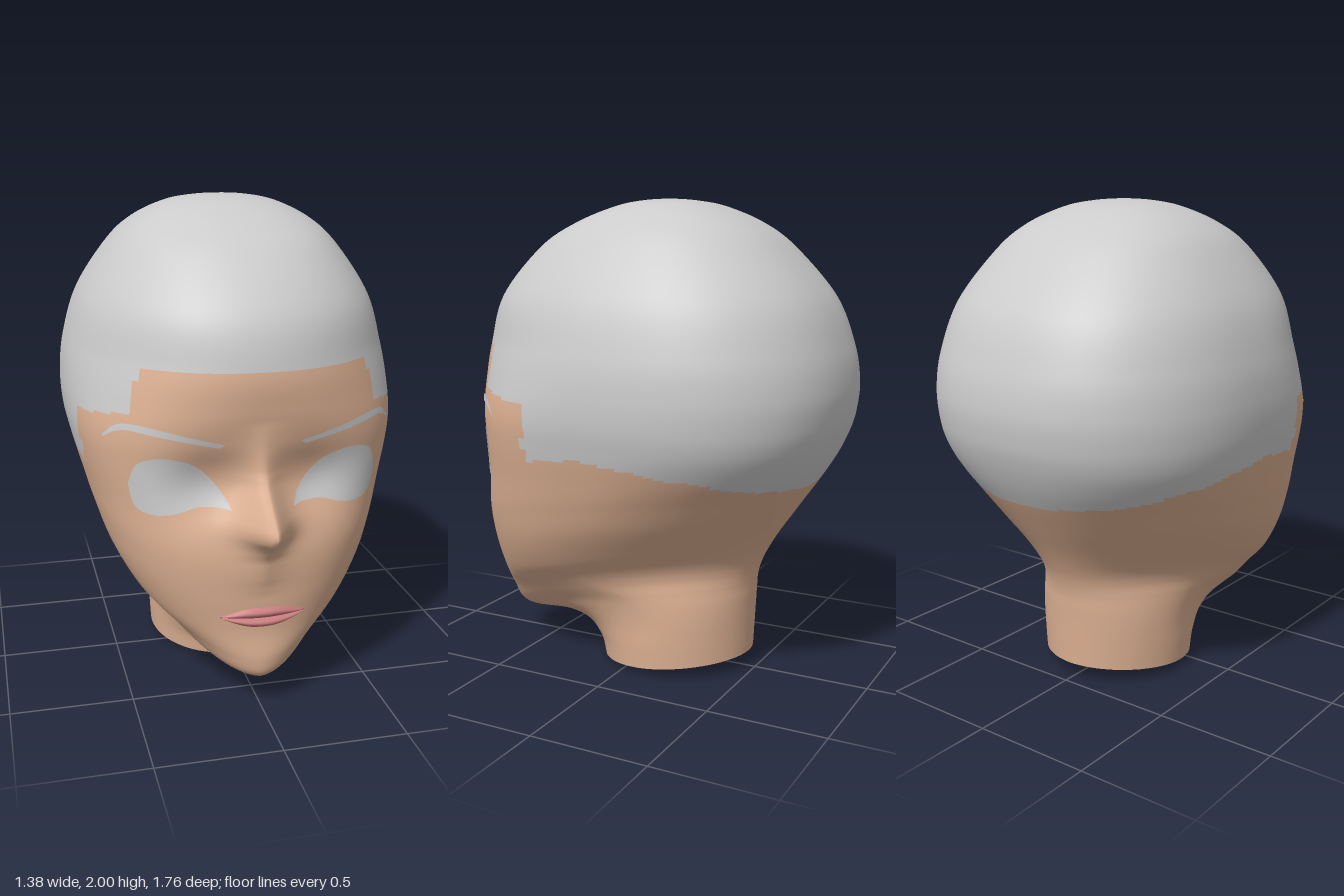
import * as THREE from 'three';

const skin = new THREE.MeshStandardMaterial({ color: 0xdcb092, side: THREE.DoubleSide });
const grey = new THREE.MeshStandardMaterial({ color: 0xcccccc, side: THREE.DoubleSide });
const rose = new THREE.MeshStandardMaterial({ color: 0xc87a7c, side: THREE.DoubleSide });
const { smoothstep } = THREE.MathUtils;

// Tilted rings from neck to crown:
// front z, front y, back z, back y, half width, z of widest point, squareness of the front
const RINGS = [
  [0.20, 0.00, -0.47, 0.07, 0.315, -0.13, 2.0],
  [0.225, 0.08, -0.475, 0.17, 0.32, -0.13, 2.0],
  [0.30, 0.145, -0.48, 0.26, 0.322, -0.13, 2.0],
  [0.42, 0.155, -0.485, 0.33, 0.328, -0.10, 1.9],
  [0.60, 0.122, -0.49, 0.39, 0.34, -0.03, 1.7],
  [0.68, 0.145, -0.505, 0.45, 0.362, 0.08, 1.7],
  [0.70, 0.22, -0.53, 0.51, 0.40, 0.15, 1.8],
  [0.69, 0.34, -0.58, 0.60, 0.475, 0.17, 2.1],
  [0.70, 0.50, -0.66, 0.72, 0.55, 0.12, 2.3],
  [0.70, 0.66, -0.74, 0.84, 0.595, 0.05, 2.5],
  [0.665, 0.84, -0.80, 0.94, 0.63, -0.02, 2.8],
  [0.65, 1.00, -0.845, 1.04, 0.664, -0.08, 3.0],
  [0.67, 1.12, -0.87, 1.13, 0.685, -0.08, 2.75],
  [0.695, 1.25, -0.88, 1.25, 0.69, -0.08, 2.35],
  [0.70, 1.40, -0.855, 1.40, 0.672, -0.08, 2.1],
  [0.642, 1.60, -0.773, 1.60, 0.61, -0.08, 2.15],
  [0.47, 1.80, -0.60, 1.80, 0.48, -0.08, 2.2],
  [0.31, 1.90, -0.465, 1.90, 0.375, -0.08, 2.2],
  [0.14, 1.967, -0.31, 1.967, 0.24, -0.08, 2.2],
  [0.03, 1.992, -0.19, 1.992, 0.12, -0.08, 2.1],
  [-0.08, 2.00, -0.08, 2.00, 0.00, -0.08, 2.0],
];

// Nose: height -> how far the centre line stands out, and its half width
const NOSE = [[0.55, 0.01], [0.66, 0.035], [0.71, 0.075], [0.74, 0.125], [0.77, 0.19], [0.81, 0.218],
  [0.85, 0.185], [0.9, 0.13], [0.95, 0.08], [1.0, 0.05], [1.1, 0.02], [1.2, 0]];
const NOSE_WIDTH = [[0.8, 0.085], [0.86, 0.075], [0.95, 0.058], [1.1, 0.07]];

// Hairline: z -> height, stepped at the temples
const HAIRLINE = [[-0.9, 0.8], [-0.75, 0.85], [-0.5, 0.91], [-0.3, 0.95], [0, 0.99], [0.25, 0.96],
  [0.251, 1.19], [0.45, 1.21], [0.52, 1.23], [0.521, 1.4], [1, 1.4]];

function lookup(table, k) {
  if (k <= table[0][0]) return table[0][1];
  for (let i = 1; i < table.length; i++) {
    const [a, fa] = table[i - 1], [b, fb] = table[i];
    if (k <= b) return fa + (fb - fa) * (k - a) / (b - a);
  }
  return table[table.length - 1][1];
}

// Smooth ring between the listed ones
function ringAt(v) {
  const last = RINGS.length - 1;
  const i = Math.min(Math.floor(v), last - 1), t = v - i;
  const r = k => RINGS[Math.min(Math.max(k, 0), last)];
  return r(0).map((_, c) => {
    const p0 = r(i - 1)[c], p1 = r(i)[c], p2 = r(i + 1)[c], p3 = r(i + 2)[c];
    return p1 + 0.5 * t * (p2 - p0 + t * (2 * p0 - 5 * p1 + 4 * p2 - p3 + t * (3 * (p1 - p2) + p3 - p0)));
  });
}

function headPoint(v, a) {
  const [fz, fy, bz, by, w, zc, n] = ringAt(v);
  const s = Math.sin(a), c = Math.cos(a);
  const depth = Math.max(c > 0 ? fz - zc : zc - bz, 1e-4);
  // the nape is rounder than the back of the skull
  const e = c > 0 ? n : 1.9 + 0.5 * smoothstep(v, 6, 11);
  const rad = Math.pow(Math.pow(Math.abs(s) / Math.max(w, 1e-4), e) + Math.pow(Math.abs(c) / depth, e), -1 / e);
  const x = rad * s;
  let z = zc + rad * c;
  // the jaw line sweeps up quickly behind the chin, then runs level to the nape
  const sweep = 1 + smoothstep(v, 1, 4) * (1 - smoothstep(v, 8, 11));
  const t = (z - bz) / Math.max(fz - bz, 1e-4);
  const y = by + (fy - by) * Math.pow(Math.min(Math.max(t, 0), 1), sweep);
  if (z > 0.3 && y > 0.5) {
    // nose and eye sockets
    const ax = Math.abs(x);
    z += lookup(NOSE, y) * Math.exp(-Math.pow(ax / lookup(NOSE_WIDTH, y), 1.5)) * Math.min(1, (y - 0.5) / 0.06);
    z -= 0.045 * Math.exp(-(((ax - 0.21) / 0.15) ** 2) - (((y - 0.94) / 0.13) ** 2));
  }
  return [x, y, z];
}

// One head surface, shared by the face and the hair cap
function buildHead() {
  const cols = 128, rows = (RINGS.length - 1) * 10;
  const pos = [], all = [], face = [], cap = [];
  for (let i = 0; i <= rows; i++) {
    for (let j = 0; j < cols; j++) {
      const u = j / cols * Math.PI * 2;
      pos.push(...headPoint(i / 10, u - 0.5 * Math.sin(u))); // finer toward the face
    }
  }
  for (let i = 0; i < rows; i++) {
    for (let j = 0; j < cols; j++) {
      const a = i * cols + j, b = i * cols + (j + 1) % cols;
      const quad = [a, b, b + cols, a, b + cols, a + cols];
      const y = (pos[a * 3 + 1] + pos[(b + cols) * 3 + 1]) / 2;
      const z = (pos[a * 3 + 2] + pos[(b + cols) * 3 + 2]) / 2;
      all.push(...quad);
      (y > lookup(HAIRLINE, z) ? cap : face).push(...quad);
    }
  }
  const whole = new THREE.BufferGeometry();
  whole.setAttribute('position', new THREE.Float32BufferAttribute(pos, 3));
  whole.setIndex(all);
  whole.computeVertexNormals();
  const part = index => {
    const g = new THREE.BufferGeometry();
    g.setAttribute('position', whole.attributes.position);
    g.setAttribute('normal', whole.attributes.normal);
    g.setIndex(index);
    return g;
  };
  return { whole, face: part(face), cap: part(cap) };
}

// Patch between two outline curves, laid onto the face and raised by lift(s, t)
function patch(name, material, target, side, lower, upper, lift, across = 24, up = 6) {
  const curve = pts => new THREE.SplineCurve(pts.map(p => new THREE.Vector2(...p)));
  const lo = curve(lower), hi = curve(upper);
  const ray = new THREE.Raycaster(), inward = new THREE.Vector3(0, 0, -1);
  const pos = [], index = [];
  for (let i = 0; i <= across; i++) {
    const s = i / across, p = lo.getPoint(s), q = hi.getPoint(s);
    for (let j = 0; j <= up; j++) {
      const t = j / up, m = p.clone().lerp(q, t);
      ray.set(new THREE.Vector3(m.x * side, m.y, 2), inward);
      const hit = ray.intersectObject(target)[0];
      pos.push(m.x * side, m.y, (hit ? hit.point.z : 0.4) + lift(s, t));
      if (i < across && j < up) {
        const a = i * (up + 1) + j, b = a + up + 1;
        index.push(...(side > 0 ? [a, b, b + 1, a, b + 1, a + 1] : [a, b + 1, b, a, a + 1, b + 1]));
      }
    }
  }
  const g = new THREE.BufferGeometry();
  g.setAttribute('position', new THREE.Float32BufferAttribute(pos, 3));
  g.setIndex(index);
  g.computeVertexNormals();
  const mesh = new THREE.Mesh(g, material);
  mesh.name = name;
  return mesh;
}

export function createModel() {
  const model = new THREE.Group();
  model.name = 'head';
  const { whole, face, cap } = buildHead();
  const target = new THREE.Mesh(whole, skin);

  const faceMesh = new THREE.Mesh(face, skin);
  faceMesh.name = 'faceAndNeck';
  const capMesh = new THREE.Mesh(cap, grey);
  capMesh.name = 'hairCap';
  model.add(faceMesh, capMesh);

  // Eyes and eyebrows, mirrored
  for (const [side, label] of [[1, 'left'], [-1, 'right']]) {
    model.add(patch(label + 'Eye', grey, target, side,
      [[0.125, 0.855], [0.17, 0.862], [0.25, 0.863], [0.33, 0.84], [0.42, 0.832], [0.48, 0.86], [0.502, 0.95]],
      [[0.125, 0.86], [0.16, 0.925], [0.24, 1.015], [0.32, 1.055], [0.41, 1.06], [0.475, 1.03], [0.502, 0.95]],
      () => 0.005, 24, 10));
    model.add(patch(label + 'Eyebrow', grey, target, side,
      [[0.17, 1.105], [0.27, 1.128], [0.4, 1.152], [0.5, 1.165], [0.55, 1.15], [0.585, 1.12]],
      [[0.15, 1.12], [0.27, 1.15], [0.4, 1.18], [0.5, 1.19], [0.55, 1.172], [0.585, 1.13]],
      () => 0.006, 24, 3));
  }

  // Lips
  const swell = (s, t) => 0.004 + 0.02 * Math.sin(Math.PI * t) * Math.sqrt(Math.sin(Math.PI * Math.min(s, 0.9999)));
  const seam = [[-0.172, 0.415], [-0.08, 0.41], [0, 0.408], [0.08, 0.41], [0.172, 0.415]];
  model.add(patch('upperLip', rose, target, 1, seam,
    [[-0.172, 0.42], [-0.08, 0.448], [0, 0.453], [0.08, 0.448], [0.172, 0.42]], swell));
  model.add(patch('lowerLip', rose, target, 1,
    [[-0.172, 0.412], [-0.08, 0.377], [0, 0.368], [0.08, 0.377], [0.172, 0.412]], seam, swell));
  return model;
}
